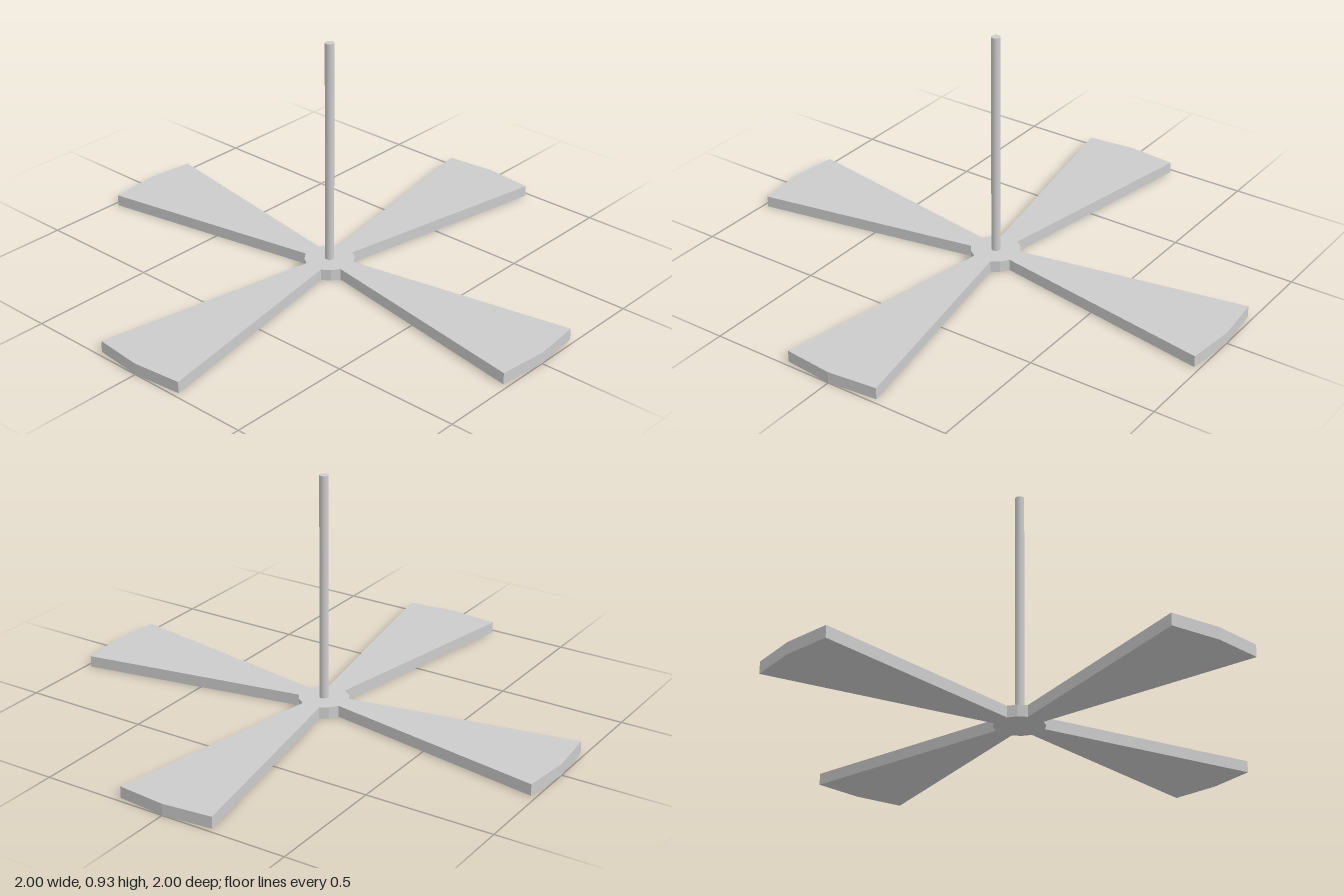
import * as THREE from 'three';

export function createModel() {
  const group = new THREE.Group();
  const material = new THREE.MeshStandardMaterial({ color: 0xcccccc });
  const thickness = 0.045;
  const rodTop = 0.93;

  // Four flared blades joined by a small round hub, one quarter turn at a time
  const quarter = [[0.037, 0.089], [0.195, 0.98], [0, 1], [-0.195, 0.98], [-0.037, 0.089], [-0.068, 0.068]];
  const outline = [];
  for (let i = 0; i < 4; i++) {
    const turn = i * Math.PI / 2;
    for (const [x, y] of quarter) {
      outline.push(new THREE.Vector2(x, y).rotateAround(new THREE.Vector2(), turn));
    }
  }
  const bladeGeometry = new THREE.ExtrudeGeometry(new THREE.Shape(outline), { depth: thickness, bevelEnabled: false });
  bladeGeometry.rotateX(-Math.PI / 2);
  const blades = new THREE.Mesh(bladeGeometry, material);
  blades.name = 'bladesAndHub';
  group.add(blades);

  // Thin upright rod
  const rod = new THREE.Mesh(new THREE.CylinderGeometry(0.0175, 0.0175, rodTop - thickness, 16), material);
  rod.name = 'rod';
  rod.position.y = (rodTop + thickness) / 2;
  group.add(rod);

  return group;
}
